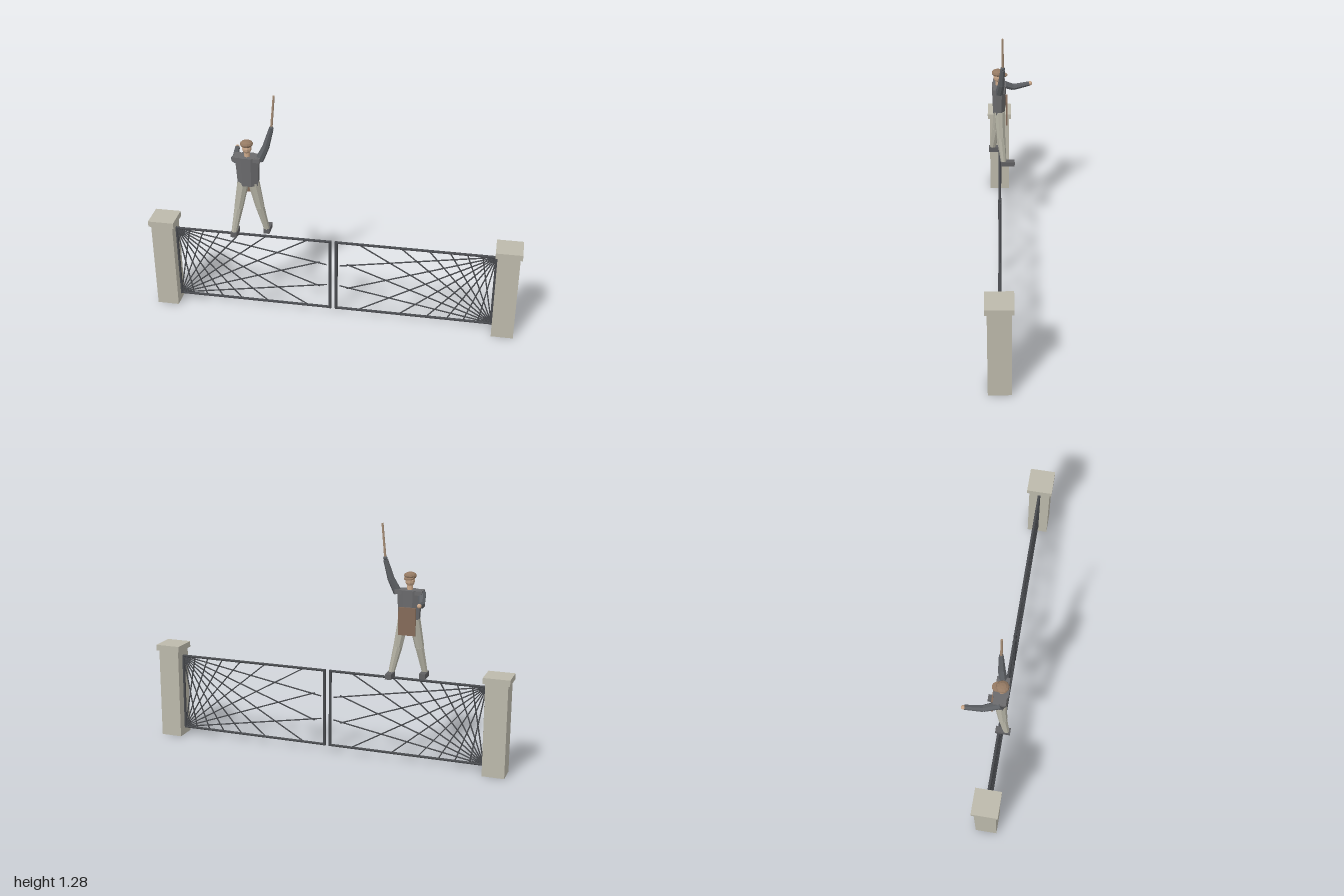
import * as THREE from 'three';

const mat = (name, color) => {
  const m = new THREE.MeshStandardMaterial({ color, flatShading: true });
  m.name = name;
  return m;
};

export function createModel() {
  const root = new THREE.Group();
  const stone = mat('stone', 0xbcb9ab);
  const iron = mat('iron', 0x484a4e);
  const jacket = mat('jacket', 0x6b6b6d);
  const sleeve = mat('sleeve', 0x5c5f63);
  const trousers = mat('trousers', 0xb4b2a4);
  const leather = mat('shoe leather', 0x606062);
  const skin = mat('skin', 0xcdaa8c);
  const capCloth = mat('cap cloth', 0x957a63);
  const boardWood = mat('board wood', 0x846b59);
  const stickWood = mat('stick wood', 0xa68d76);

  const add = (parent, name, geometry, material, x = 0, y = 0, z = 0) => {
    const m = new THREE.Mesh(geometry, material);
    m.name = name;
    m.position.set(x, y, z);
    parent.add(m);
    return m;
  };
  const box = (parent, name, material, w, h, d, x, y, z) =>
    add(parent, name, new THREE.BoxGeometry(w, h, d), material, x, y, z);
  // Tapered rod between two points
  const rod = (parent, name, material, a, b, ra, rb = ra, sides = 6) => {
    const A = new THREE.Vector3(...a), B = new THREE.Vector3(...b);
    const dir = B.clone().sub(A);
    const m = add(parent, name, new THREE.CylinderGeometry(rb, ra, dir.length(), sides), material);
    m.position.copy(A).add(B).multiplyScalar(0.5);
    m.quaternion.setFromUnitVectors(new THREE.Vector3(0, 1, 0), dir.normalize());
    return m;
  };

  // Pillars and mirrored gate leaves
  const gz = 0.055, top = 0.465, bottom = 0.043, inner = 0.017, outer = 0.868;
  for (const s of [-1, 1]) {
    const side = new THREE.Group();
    side.name = s < 0 ? 'rightGate' : 'leftGate';
    root.add(side);
    box(side, 'pillar', stone, 0.118, 0.505, 0.116, s * 0.93, 0.2525, 0.057);
    box(side, 'pillarCap', stone, 0.14, 0.032, 0.14, s * 0.93, 0.517, 0.057);
    for (const y of [top, bottom])
      rod(side, 'rail', iron, [s * inner, y, gz], [s * outer, y, gz], 0.0072, 0.0072, 8);
    for (const x of [inner, outer])
      rod(side, 'stile', iron, [s * x, bottom - 0.005, gz], [s * x, top + 0.005, gz], 0.0085, 0.0085, 8);

    // Fans of thin bars from the two hinge corners, none longer than the leaf
    const h = top - bottom, maxLength = 0.845;
    for (const [y0, dir] of [[top, -1], [bottom, 1]]) {
      for (let deg = 10; deg <= 80; deg += 10) {
        const a = deg * Math.PI / 180;
        const len = Math.min(h / Math.sin(a), maxLength);
        rod(side, 'fanBar', iron, [s * outer, y0, gz],
          [s * (outer - len * Math.cos(a)), y0 + dir * len * Math.sin(a), gz], 0.0037);
      }
    }
  }

  // Figure standing on the top rail, facing the back
  const man = new THREE.Group();
  man.name = 'figure';
  root.add(man);
  const cx = -0.45;

  // Legs, with shoes pointing to the back
  const legs = [
    { hip: [-0.478, 0.79, 0.057], knee: [-0.505, 0.64, 0.072], ankle: [-0.53, 0.5, 0.095], toe: 0.077 },
    { hip: [-0.422, 0.79, 0.054], knee: [-0.395, 0.64, 0.047], ankle: [-0.366, 0.5, 0.033], toe: 0.009 },
  ];
  for (const { hip, knee, ankle, toe } of legs) {
    rod(man, 'thigh', trousers, hip, knee, 0.031, 0.024, 8);
    rod(man, 'shin', trousers, knee, ankle, 0.024, 0.016, 8);
    box(man, 'shoe', leather, 0.033, 0.028, 0.078, ankle[0], 0.49, toe);
  }

  // Jacket: an eight-sided tapered barrel, widened sideways
  const torso = new THREE.CylinderGeometry(0.062, 0.053, 0.165, 8);
  torso.rotateY(Math.PI / 8);
  torso.scale(1.1, 1, 0.68);
  add(man, 'jacketBody', torso, jacket, cx, 0.862, 0.057);
  box(man, 'shoulders', jacket, 0.145, 0.022, 0.066, cx, 0.933, 0.057);

  // Raised arm with stick
  const elbow = [-0.354, 0.995, 0.043], wrist = [-0.325, 1.095, 0.036];
  rod(man, 'raisedUpperArm', sleeve, [-0.387, 0.925, 0.055], elbow, 0.023, 0.019, 7);
  rod(man, 'raisedForearm', sleeve, elbow, wrist, 0.019, 0.013, 7);
  add(man, 'raisedGlove', new THREE.SphereGeometry(0.012, 8, 6), sleeve, -0.323, 1.103, 0.036);
  rod(man, 'stick', stickWood, [-0.324, 1.09, 0.036], [-0.305, 1.283, 0.036], 0.0065, 0.0055, 8);

  // Outstretched arm
  const elbow2 = [-0.535, 0.885, -0.02], wrist2 = [-0.548, 0.9, -0.112];
  rod(man, 'outUpperArm', sleeve, [-0.513, 0.925, 0.065], elbow2, 0.023, 0.018, 7);
  rod(man, 'outForearm', sleeve, elbow2, wrist2, 0.018, 0.013, 7);
  add(man, 'outHand', new THREE.SphereGeometry(0.012, 8, 6), skin, -0.549, 0.901, -0.117);

  // Head and flat cap
  rod(man, 'neck', skin, [cx, 0.935, 0.06], [cx, 0.98, 0.06], 0.016, 0.016, 8);
  const head = add(man, 'head', new THREE.SphereGeometry(0.028, 10, 8), skin, cx, 0.993, 0.06);
  head.scale.set(0.92, 1.15, 1);
  const cap = add(man, 'cap', new THREE.SphereGeometry(0.034, 10, 6), capCloth, cx, 1.016, 0.063);
  cap.scale.set(1, 0.58, 1);
  const bill = add(man, 'capBill', new THREE.CylinderGeometry(0.026, 0.026, 0.006, 10), capCloth, cx, 1.006, 0.036);
  bill.rotation.x = -0.15;

  // Board hanging down in front of the body
  box(man, 'frontBoard', boardWood, 0.092, 0.147, 0.009, cx, 0.784, 0.015);

  return root;
}
